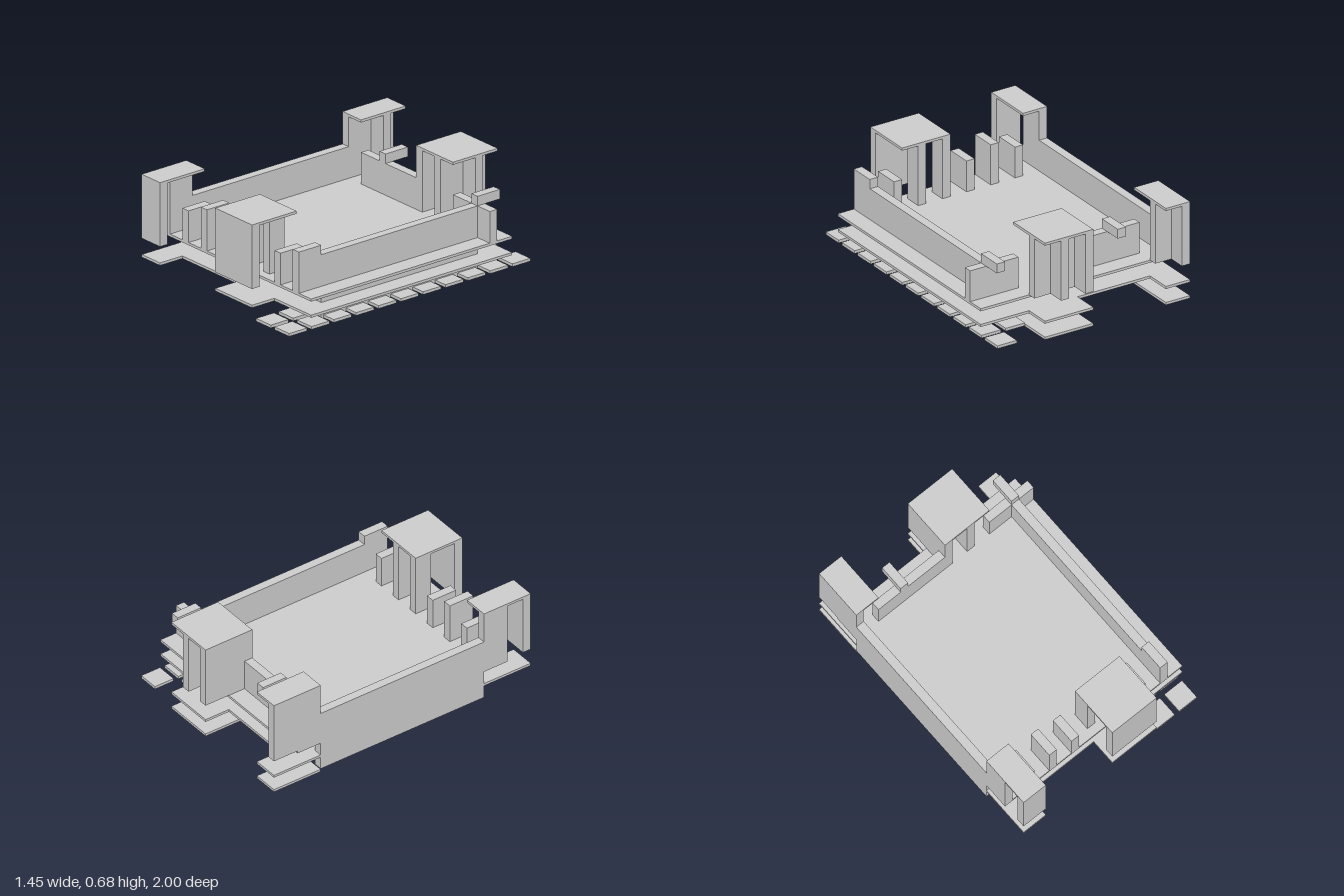
import * as THREE from 'three';

// Everything sits on a grid of 24 x 33 cells
const U = 2 / 33;
const material = new THREE.MeshStandardMaterial({ color: 0xcccccc, flatShading: true });

// Heights of the storeys
const FLOOR = 0.24, WALL_TOP = 0.455, BEAM_TOP = 0.52, EAVES = 0.657, ROOF = 0.675;

export function createModel() {
  const model = new THREE.Group();

  // Box between two corners; x and z in grid cells, y in units
  function box(name, x0, x1, y0, y1, z0, z1, parent = model) {
    const mesh = new THREE.Mesh(
      new THREE.BoxGeometry((x1 - x0) * U, y1 - y0, (z1 - z0) * U), material);
    mesh.position.set(((x0 + x1) / 2 - 12) * U, (y0 + y1) / 2, ((z0 + z1) / 2 - 16.5) * U);
    mesh.name = name;
    parent.add(mesh);
  }

  function group(name) {
    const g = new THREE.Group();
    g.name = name;
    model.add(g);
    return g;
  }

  // Main floor and the lower deck
  box('floor', 0, 24, 0.222, FLOOR, 3, 30);
  box('lowerDeck', 0, 24, 0.112, 0.13, 3, 30);

  // Long side walls, reaching below the floor
  for (const x of [0, 21]) box('sideWall', x, x + 1, 0.022, WALL_TOP, 6, 27);

  // Back wall, interrupted by the wide tower, with projecting beams
  box('backWall', 3, 12, FLOOR, WALL_TOP, 5, 6);
  box('backWall', 18, 24, FLOOR, WALL_TOP, 5, 6);
  for (const x of [6, 21]) box('backBeam', x, x + 1, WALL_TOP, BEAM_TOP, 3, 6);

  // Fin walls along the open front
  for (const [x, top] of [[3, WALL_TOP], [6, BEAM_TOP], [9, WALL_TOP], [18, WALL_TOP], [21, BEAM_TOP]])
    box('frontFin', x, x + 1, FLOOR, top, 27, 30);

  // Towers: a narrow and a wide one at the front and the back
  for (const [x0, x1, fins, finFront] of [[0, 3, [0], 30], [12, 18, [12, 15], 29]]) {
    const front = group('frontTower');
    box('towerRoof', x0, x1, EAVES, ROOF, 27, 33, front);
    box('frontSlab', x0, x1, FLOOR, EAVES, 32, 33, front);
    const back = group('backTower');
    box('towerRoof', x0, x1, EAVES, ROOF, 0, 6, back);
    box('crossWall', x0, x1, FLOOR, EAVES, 2, 3, back);
    for (const x of fins) {
      box('towerFin', x, x + 1, FLOOR, EAVES, 27, finFront, front);
      box('towerFin', x, x + 1, FLOOR, EAVES, 0, 6, back);
    }
    // Porches of the lower deck and the ground slab behind
    box('frontPorch', x0, x1, 0.112, 0.13, 30, 33);
    box('backPorch', x0, x1, 0.112, 0.13, 0, 3);
    box('groundSlab', x0, x1, 0, 0.018, 0, 6);
  }

  // Two rows of paving tiles along the left side
  const paving = group('paving');
  for (const [x, first] of [[18.3, 1], [21.3, 0]])
    for (let i = first; i < 11; i++)
      box('pavingTile', x, x + 2.4, 0.022, 0.042, i * 3 + 0.3, i * 3 + 2.7, paving);

  return model;
}
